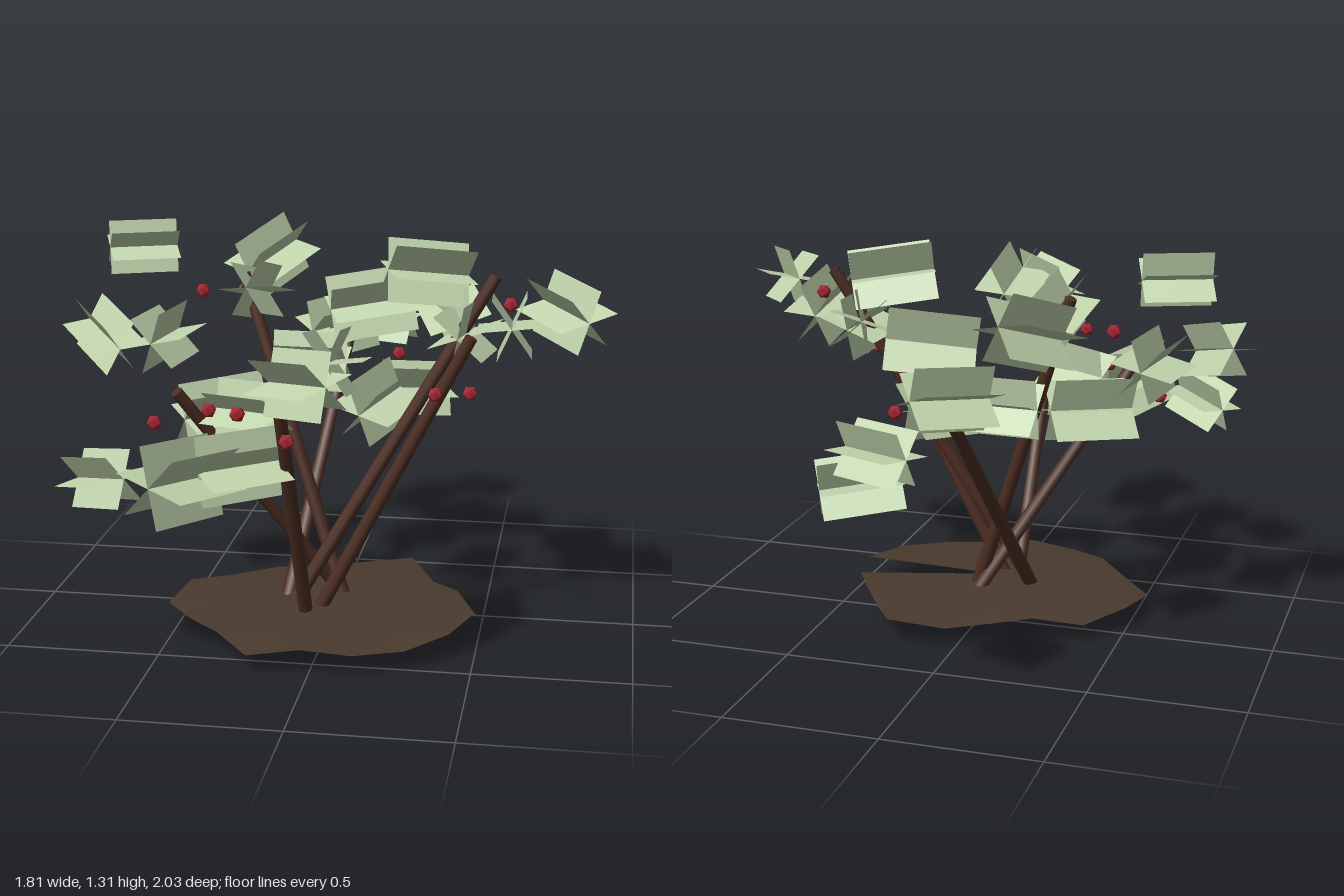
import * as THREE from 'three';
import { mergeGeometries } from 'three/addons/utils/BufferGeometryUtils.js';

const V = (p) => new THREE.Vector3(...p);
const rad = THREE.MathUtils.degToRad;
const mat = (color, extra = {}) => new THREE.MeshStandardMaterial({ color, ...extra });

export function createModel() {
  const bush = new THREE.Group();
  bush.name = 'berryBush';
  const soil = mat(0x4a3a2e, { side: THREE.DoubleSide });
  const bark = mat(0x4d2e22);
  const foliage = mat(0xc2d6ae, { side: THREE.DoubleSide });
  const red = mat(0xa02432, { flatShading: true });

  // Soil patch: a ragged shallow cone, split where the rim starts and ends
  const radii = [0.51, 0.5, 0.48, 0.45, 0.44, 0.48, 0.44, 0.45, 0.52,
    0.5, 0.45, 0.37, 0.37, 0.44, 0.52, 0.45, 0.46, 0.51];
  const last = radii.length - 1;
  const points = [0, 0.115, 0];
  const index = [];
  radii.forEach((r, i) => {
    const a = rad(8 + i * 20.7);
    const y = i === 0 ? 0.1 : i === last ? 0.065 : 0.08 + 0.014 * Math.sin(i * 2.5 - 1.6);
    points.push(r * Math.cos(a), y, r * Math.sin(a));
    if (i) index.push(0, i + 1, i);
  });
  const patch = new THREE.BufferGeometry();
  patch.setAttribute('position', new THREE.Float32BufferAttribute(points, 3));
  patch.setIndex(index);
  patch.computeVertexNormals();
  const ground = new THREE.Mesh(patch, soil);
  ground.name = 'soilPatch';
  ground.position.set(-0.02, 0, 0.15);
  bush.add(ground);

  // Stems fan out from the soil: [base, tip]
  const stems = [
    [[-0.06, 0.02, 0.23], [-0.065, 0.92, 0.7]],
    [[-0.06, 0.02, 0.23], [0.46, 1.02, 0.22]],
    [[-0.14, 0.05, 0.21], [0.52, 1.18, 0.03]],
    [[-0.15, 0.05, 0.17], [-0.02, 0.89, -0.46]],
    [[0.06, 0.03, 0.02], [-0.44, 0.86, 0.42]],
    [[0.06, 0.02, 0.1], [-0.32, 1.15, -0.06]],
  ];
  for (const [a, b] of stems) {
    const base = V(a), dir = V(b).sub(base), length = dir.length();
    const stem = new THREE.Mesh(new THREE.CylinderGeometry(0.02, 0.024, length, 8), bark);
    stem.name = 'stem';
    stem.position.copy(base).addScaledVector(dir, 0.5);
    stem.quaternion.setFromUnitVectors(new THREE.Vector3(0, 1, 0), dir.normalize());
    bush.add(stem);
  }

  // Leaf cluster: three cards crossing on a common long axis
  const cards = mergeGeometries([0, 1, 2].map((k) =>
    new THREE.PlaneGeometry(0.28, 0.22).rotateX(Math.PI / 2 + k * Math.PI / 3)));
  // x, y, z, yaw and pitch in degrees, scale
  const clusters = [
    [0.04, 0.84, -0.88, -22, 0, 0.84],
    [-0.31, 1.13, -0.5, 61, 17, 1],
    [-0.05, 0.9, -0.47, 45, 5, 0.98],
    [0.2, 0.645, -0.59, 27, -6, 0.91],
    [0.08, 1.02, -0.26, 19, 7, 1.03],
    [-0.13, 0.82, -0.22, -3, 0, 0.92],
    [0.3, 1.18, 0, 23, -7, 0.98],
    [0.14, 0.74, -0.02, 68, 8, 1],
    [0.37, 1.04, -0.1, -72, -11, 0.95],
    [0.58, 1.04, 0.12, -87, 6, 1],
    [0.75, 1.11, 0.21, -55, -6, 0.94],
    [0.43, 1.0, 0.08, -97, 3, 0.95],
    [-0.27, 1.1, -0.03, -97, 14, 0.9],
    [-0.34, 0.73, 0.16, 36, 3, 1.05],
    [-0.66, 1.23, -0.06, 22, 0, 0.8],
    [-0.75, 0.97, 0.13, -50, -14, 0.88],
    [-0.58, 0.94, 0, -97, 0, 0.95],
    [-0.22, 0.8, 0.4, -27, 3, 0.88],
    [-0.61, 0.655, 0.7, -37, 11, 0.84],
    [-0.34, 0.68, 0.77, 65, -6, 1.14],
    [-0.2, 0.69, 0.63, 39, 0, 0.98],
    [0.09, 1.04, 0.7, -88, 10, 1],
    [0.02, 1.01, 0.86, -40, 7, 0.92],
  ];
  clusters.forEach(([x, y, z, yaw, pitch, scale], i) => {
    const leaf = new THREE.Mesh(cards, foliage);
    leaf.name = 'leafCluster';
    leaf.position.set(x, y, z);
    leaf.rotation.set(0.1 + 0.12 * (i % 3), rad(yaw), rad(pitch), 'YZX');
    leaf.scale.setScalar(scale);
    bush.add(leaf);
  });

  // Berries
  const berryShape = new THREE.IcosahedronGeometry(0.025);
  const berries = [
    [0.16, 0.82, -0.38], [-0.48, 1.07, -0.14], [-0.53, 0.74, 0.36],
    [-0.33, 0.815, 0.46], [-0.185, 0.875, 0.71], [-0.01, 0.84, 0.86],
    [0.35, 0.835, 0.24], [0.465, 0.86, 0.3], [0.57, 1.095, 0.06],
  ];
  for (const p of berries) {
    const berry = new THREE.Mesh(berryShape, red);
    berry.name = 'berry';
    berry.position.set(...p);
    bush.add(berry);
  }
  return bush;
}
